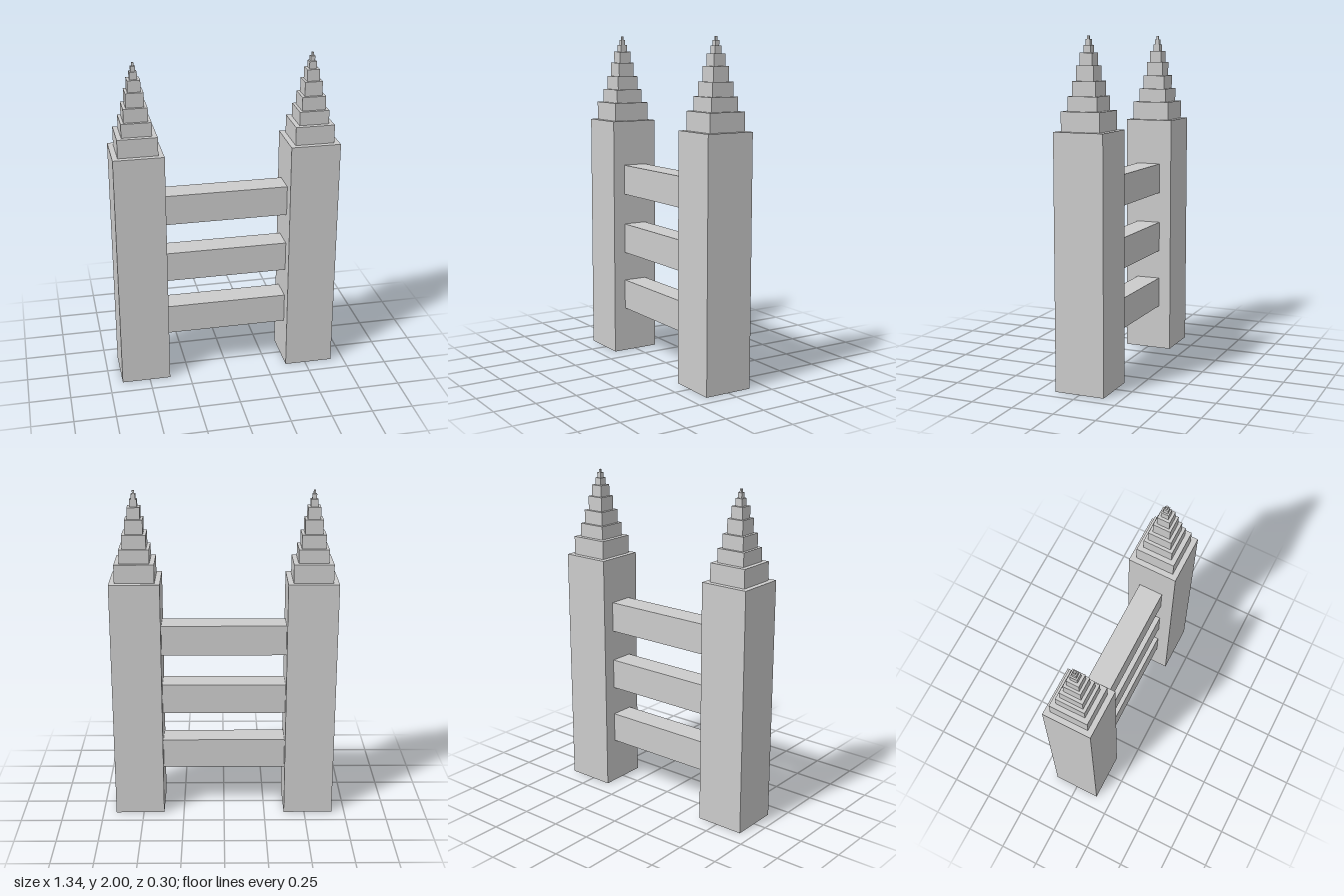
import * as THREE from 'three';

const material = new THREE.MeshStandardMaterial({ color: 0xcccccc, flatShading: true });

// Box standing between two heights
function block(name, width, bottom, top, depth) {
  const mesh = new THREE.Mesh(new THREE.BoxGeometry(width, top - bottom, depth), material);
  mesh.position.y = (bottom + top) / 2;
  mesh.name = name;
  return mesh;
}

const SHAFT_WIDTH = 0.298;
const SHAFT_TOP = 1.477;
const TOWER_X = 0.522;

// Stepped spire tiers: [width, top height]
const TIERS = [
  [0.234, 1.588], [0.177, 1.67], [0.141, 1.752], [0.105, 1.837],
  [0.075, 1.906], [0.043, 1.949], [0.026, 1.98], [0.012, 2],
];

// Square shaft with a stepped spire
function createTower(name) {
  const tower = new THREE.Group();
  tower.name = name;
  tower.add(block('shaft', SHAFT_WIDTH, 0, SHAFT_TOP, SHAFT_WIDTH));
  let bottom = SHAFT_TOP;
  TIERS.forEach(([width, top], i) => {
    tower.add(block(`spireTier${i + 1}`, width, bottom, top, width));
    bottom = top;
  });
  return tower;
}

export function createModel() {
  const model = new THREE.Group();
  model.name = 'twinTowers';

  // Towers
  for (const side of [-1, 1]) {
    const tower = createTower(side > 0 ? 'leftTower' : 'rightTower');
    tower.position.x = side * TOWER_X;
    model.add(tower);
  }

  // Connecting bridges
  const span = 2 * TOWER_X - SHAFT_WIDTH;
  [0.37, 0.734, 1.109].forEach((y, i) => {
    model.add(block(`bridge${i + 1}`, span, y - 0.092, y + 0.092, 0.148));
  });

  return model;
}
